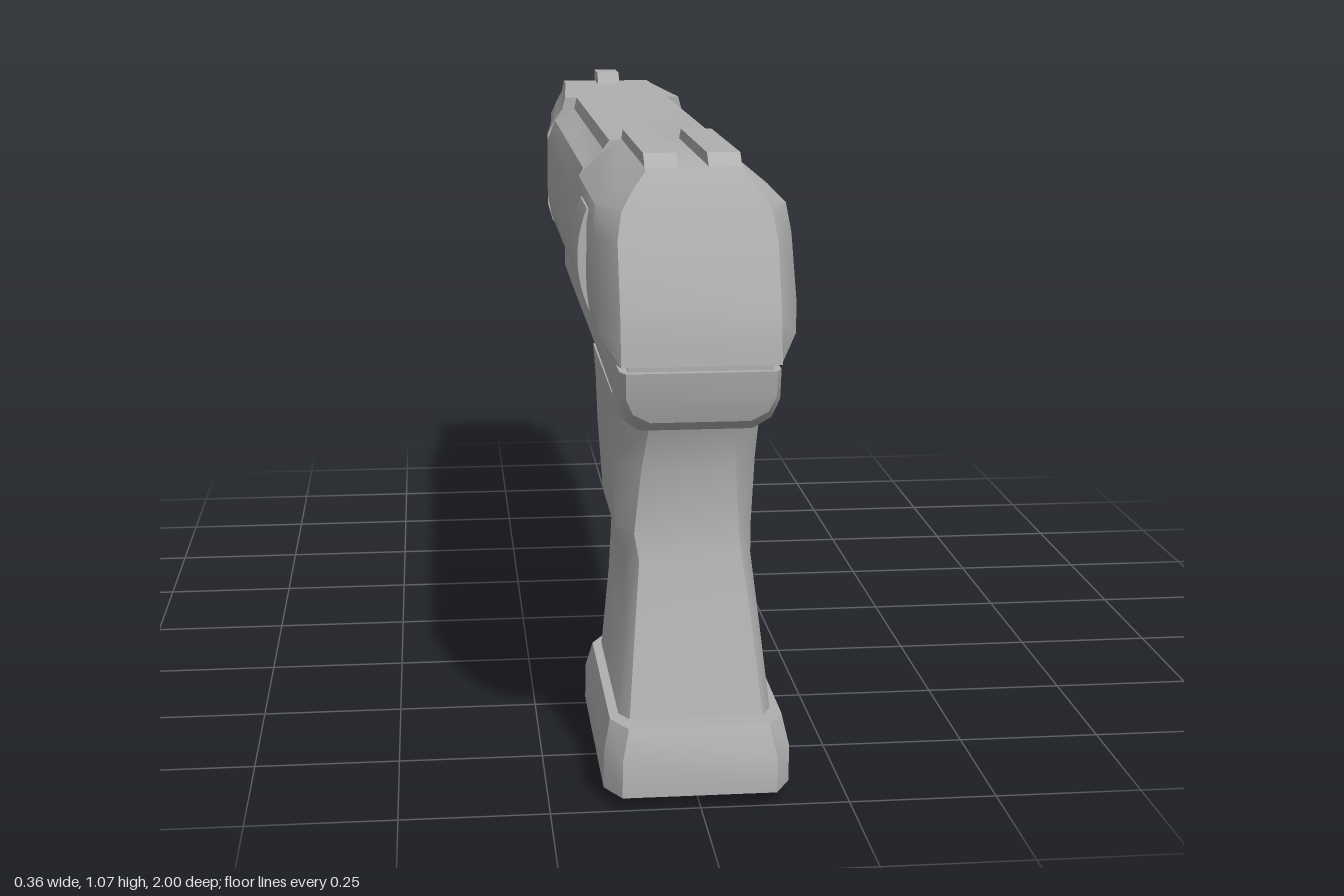
import * as THREE from 'three';
import { toCreasedNormals } from 'three/addons/utils/BufferGeometryUtils.js';

// Skin a list of rings ([x, y, z] points); ends are closed by strips joining point i to point n-1-i.
function loft(rings, crease = 0.6) {
  const n = rings[0].length, last = (rings.length - 1) * n, idx = [];
  for (let s = 0; s < rings.length - 1; s++) {
    for (let i = 0; i < n; i++) {
      const j = (i + 1) % n, a = s * n, b = a + n;
      idx.push(a + i, a + j, b + j, a + i, b + j, b + i);
    }
  }
  for (let i = 0; i < n / 2 - 1; i++) {
    const p = n - 1 - i, q = n - 2 - i;
    idx.push(i + 1, i, p, i + 1, p, q);
    idx.push(last + i, last + i + 1, last + p, last + i + 1, last + q, last + p);
  }
  const pts = rings.flat().map((p) => new THREE.Vector3(...p));
  // turn the faces outward
  let volume = 0;
  for (let k = 0; k < idx.length; k += 3) {
    volume += pts[idx[k]].dot(pts[idx[k + 1]].clone().cross(pts[idx[k + 2]]));
  }
  if (volume < 0) idx.reverse();
  const geo = new THREE.BufferGeometry().setFromPoints(pts);
  geo.setIndex(idx);
  return toCreasedNormals(geo, crease);
}

// Complete a right-hand half outline with its mirror image.
const mirrored = (half) => [...half, ...half.map(([x, y, z]) => [-x, y, z]).reverse()];

// Extrude a [z, y] side profile across x, centred on x0.
function sideExtrude(profile, halfWidth, x0 = 0) {
  const shape = new THREE.Shape(profile.map((p) => new THREE.Vector2(...p)));
  const geo = new THREE.ExtrudeGeometry(shape, { depth: halfWidth * 2, bevelEnabled: false });
  return geo.rotateY(-Math.PI / 2).translate(x0 + halfWidth, 0, 0);
}

// Horizontal chamfered outline at height y; left is the +x width, right the -x width.
function outline(y, zFront, zBack, left, right, cut, cutBack = cut) {
  const c = cut * 0.55, d = cutBack * 0.55;
  return [
    [left - c, y, zFront], [left, y, zFront + cut], [left, y, zBack - cutBack], [left - d, y, zBack],
    [-right + d, y, zBack], [-right, y, zBack - cutBack], [-right, y, zFront + cut], [-right + c, y, zFront],
  ];
}

export function createModel() {
  const model = new THREE.Group();
  const grey = new THREE.MeshStandardMaterial({ color: 0xb0b0b0 });
  grey.name = 'grey';
  const add = (name, geo) => {
    const mesh = new THREE.Mesh(geo, grey);
    mesh.name = name;
    model.add(mesh);
    return mesh;
  };

  // slide: sloped back, ribbed top and rounded flanks
  const slideSection = (z, ribWidth, w) => mirrored([
    [ribWidth, 1.045, z], [0.105, 1.02, z], [0.148, 0.995, z], [w, 0.95, z],
    [w, 0.83, z], [w * 0.95, 0.785, z], [0.13, 0.745, z],
  ]);
  add('slide', loft([
    mirrored([[0.08, 1.045, 0.87], [0.1, 1.02, 0.885], [0.122, 0.985, 0.903], [0.13, 0.94, 0.922],
      [0.13, 0.83, 0.968], [0.13, 0.785, 0.977], [0.13, 0.745, 0.982]]),
    mirrored([[0.08, 1.05, 0.85], [0.125, 1.018, 0.83], [0.158, 0.985, 0.82], [0.163, 0.94, 0.85],
      [0.165, 0.83, 0.9], [0.16, 0.785, 0.925], [0.135, 0.745, 0.955]]),
    mirrored([[0.08, 1.05, 0.44], [0.125, 1.018, 0.44], [0.158, 0.985, 0.44], [0.165, 0.94, 0.44],
      [0.165, 0.83, 0.44], [0.157, 0.785, 0.44], [0.13, 0.745, 0.44]]),
    slideSection(0.41, 0.1, 0.165),
    slideSection(-0.46, 0.1, 0.165),
  ]));

  // two muzzle jaws with hollowed ends, above and below the open slot
  const upper = [[-1, 0.965], [-0.9, 0.995], [-0.8, 1.02], [-0.76, 1.045], [-0.38, 1.045], [0, 1.045]];
  const lower = [[-1, 0.81], [-0.94, 0.775], [-0.8, 0.745], [-0.5, 0.745], [-0.25, 0.745], [0, 0.745]];
  const jaw = (half, flatY, w, zOf, yOf = (y) => y) => {
    const row = [...half, ...half.slice(0, -1).reverse().map(([f, y]) => [-f, y])];
    return [
      ...row.map(([f, y]) => [f * w, yOf(y), zOf(f)]),
      ...row.map(([f]) => [f * w, flatY, zOf(f)]).reverse(),
    ];
  };
  add('upperMuzzleJaw', loft([
    jaw(upper, 0.945, 0.165, () => -0.455),
    jaw(upper, 0.945, 0.133, () => -0.82),
    jaw(upper, 0.945, 0.131, (f) => -0.895 - 0.015 * f * f),
    jaw(upper, 0.945, 0.122, (f) => -0.935 - 0.04 * f * f, (y) => 0.965 + (y - 0.965) * 0.5),
  ]));
  add('lowerMuzzleJaw', loft([
    jaw(lower, 0.84, 0.165, () => -0.455),
    jaw(lower, 0.84, 0.135, () => -0.82),
    jaw(lower, 0.84, 0.13, (f) => -0.95 - 0.05 * f * f),
  ]));

  // narrow core inside the slot
  const coreSection = (z, w) => mirrored([[w, 0.95, z], [w, 0.835, z]]);
  add('muzzleCore', loft([coreSection(-0.45, 0.095), coreSection(-0.84, 0.095), coreSection(-0.905, 0.06)], 0.3));

  // sights
  add('frontSight', sideExtrude([[-0.8, 1.04], [-0.82, 1.07], [-0.91, 1.07], [-0.92, 1.01], [-0.82, 1.01]], 0.025));
  for (const side of [-1, 1]) {
    const name = side > 0 ? 'left' : 'right';
    add(name + 'RearRail', sideExtrude([[0.42, 1.04], [0.46, 1.07], [0.83, 1.07], [0.865, 1.04]], 0.0275, side * 0.0525));

    // curved pad on the flank, an arc drawn out along z
    const arc = [];
    for (let i = 0; i <= 12; i++) {
      const t = -0.6 + (1.03 * i) / 12;
      arc.push(new THREE.Vector2(side * 0.18 * Math.cos(t), 0.88 + 0.2 * Math.sin(t)));
    }
    arc.push(new THREE.Vector2(side * 0.12, arc[12].y), new THREE.Vector2(side * 0.12, arc[0].y));
    const pad = new THREE.ExtrudeGeometry(new THREE.Shape(arc), { depth: 0.15, bevelEnabled: false });
    add(name + 'SidePad', toCreasedNormals(pad.translate(0, 0, 0.56), 0.5));
  }

  // recessed strip between slide and frame
  add('slideSeam', new THREE.BoxGeometry(0.235, 0.02, 1.91).translate(0, 0.743, 0.015));

  // frame with rounded heel and sloped nose
  const frameSection = (z, bottom, w = 0.13, zLow = z) => {
    const h = 0.735 - bottom;
    return mirrored([
      [w, 0.735, z], [w, 0.735 - h * 0.5, z + (zLow - z) * 0.35],
      [w - 0.012, 0.735 - h * 0.82, z + (zLow - z) * 0.75], [w - 0.04, bottom, zLow],
    ]);
  };
  add('frame', loft([
    frameSection(0.983, 0.65, 0.122, 0.965),
    frameSection(0.965, 0.632, 0.131, 0.935),
    frameSection(0.88, 0.617, 0.132),
    frameSection(0.3, 0.622),
    frameSection(-0.42, 0.622, 0.13, -0.42),
    frameSection(-0.53, 0.64, 0.122, -0.485),
    frameSection(-0.565, 0.66, 0.105, -0.505),
  ]));

  // waisted grip, fuller on the right side above the waist
  add('grip', loft([
    outline(0.66, 0.29, 0.88, 0.128, 0.128, 0.08, 0.1),
    outline(0.615, 0.345, 0.86, 0.128, 0.128, 0.08, 0.1),
    outline(0.54, 0.395, 0.842, 0.12, 0.128, 0.07, 0.08),
    outline(0.43, 0.465, 0.845, 0.109, 0.124, 0.06, 0.05),
    outline(0.385, 0.485, 0.855, 0.105, 0.108, 0.05, 0.035),
    outline(0.28, 0.5, 0.885, 0.115, 0.115, 0.05, 0.03),
    outline(0.12, 0.495, 0.935, 0.13, 0.13, 0.05, 0.03),
  ]));

  // flared foot and the plate beneath it
  add('gripFoot', loft([
    outline(0.022, 0.437, 1.0, 0.155, 0.158, 0.09, 0.05),
    outline(0.085, 0.437, 0.998, 0.155, 0.157, 0.09, 0.05),
    outline(0.133, 0.453, 0.975, 0.145, 0.145, 0.09, 0.05),
  ], 0.5));
  add('footPlate', loft([
    outline(0, 0.51, 0.925, 0.098, 0.1, 0.05),
    outline(0.03, 0.51, 0.925, 0.098, 0.1, 0.05),
  ], 0.5));

  // trigger guard and trigger
  add('triggerGuard', sideExtrude([
    [0.49, 0.41], [0.22, 0.398], [0.06, 0.47], [0.005, 0.63],
    [0.065, 0.63], [0.095, 0.495], [0.23, 0.435], [0.47, 0.447],
  ], 0.04));
  add('trigger', sideExtrude([
    [0.285, 0.63], [0.265, 0.565], [0.225, 0.51], [0.17, 0.495],
    [0.17, 0.508], [0.207, 0.53], [0.222, 0.575], [0.21, 0.63],
  ], 0.025));

  return model;
}
